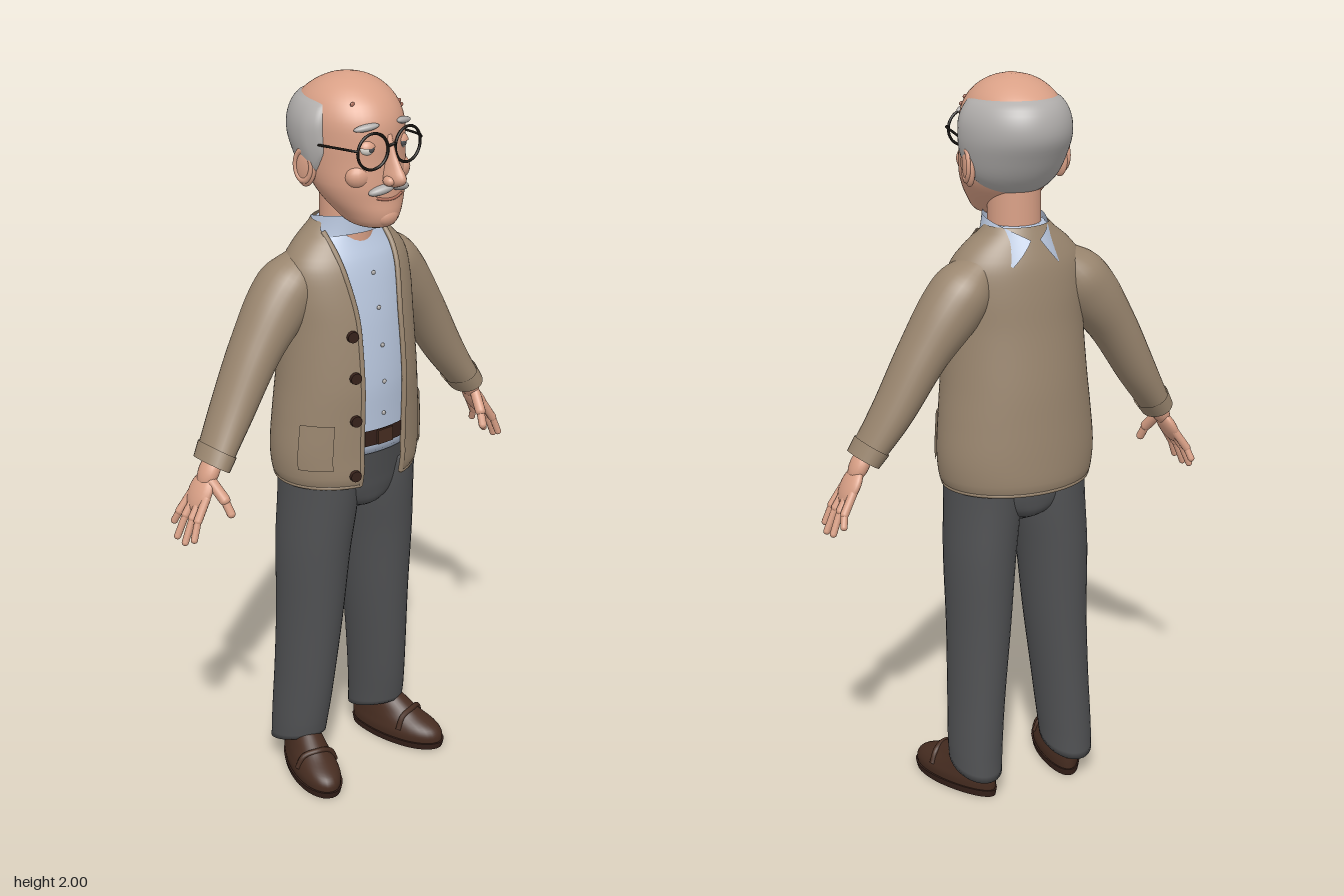
import * as THREE from 'three';
import { mergeVertices, toCreasedNormals } from 'three/addons/utils/BufferGeometryUtils.js';

const material = (name, color, side = THREE.FrontSide) => {
  const m = new THREE.MeshStandardMaterial({ color, side });
  m.name = name;
  return m;
};
const V = (x, y, z) => new THREE.Vector3(x, y, z);

// Grid surface from fn(u, v, j); u runs round, v runs up
function grid(nu, nv, fn) {
  const pos = [], idx = [], row = nu + 1;
  for (let j = 0; j <= nv; j++) for (let i = 0; i <= nu; i++) pos.push(...fn(i / nu, j / nv, j));
  for (let j = 0; j < nv; j++) for (let i = 0; i < nu; i++) {
    const a = j * row + i;
    idx.push(a, a + 1, a + row + 1, a, a + row + 1, a + row);
  }
  let g = new THREE.BufferGeometry();
  g.setAttribute('position', new THREE.Float32BufferAttribute(pos, 3));
  g.setIndex(idx);
  g = mergeVertices(g, 1e-5);
  g.computeVertexNormals();
  return g;
}

// Smoothly interpolates the columns of rows at key y
function at(rows, y) {
  let i = 0;
  while (i < rows.length - 2 && y > rows[i + 1][0]) i++;
  const p = k => rows[Math.max(0, Math.min(rows.length - 1, k))];
  const a = p(i), b = p(i + 1), h = b[0] - a[0], t = (y - a[0]) / h;
  const slope = (k, c) => (p(k + 1)[c] - p(k - 1)[c]) / (p(k + 1)[0] - p(k - 1)[0]);
  return a.map((_, c) => a[c] * (2 * t ** 3 - 3 * t * t + 1) + b[c] * (3 * t * t - 2 * t ** 3)
    + h * (slope(i, c) * (t ** 3 - 2 * t * t + t) + slope(i + 1, c) * (t ** 3 - t * t)));
}

// Point on a body of oval sections [y, zFront, zBack, halfWidth, centreX]; angle 0 faces front
function oval(rows, th, y, off = 0, scale = 1) {
  const [, zf, zb, w, cx = 0] = at(rows, y);
  return [cx + (w + off) * scale * Math.sin(th), y, (zf + zb) / 2 + ((zf - zb) / 2 + off) * scale * Math.cos(th)];
}
function loft(rows, off = 0, n = 40, bend = p => p) {
  const ys = [];
  rows.forEach((r, i) => {
    if (i) for (let k = 1; k <= 4; k++) ys.push(rows[i - 1][0] + (r[0] - rows[i - 1][0]) * k / 4);
    else ys.push(r[0], r[0]);
  });
  ys.push(ys[ys.length - 1]);
  return grid(n, ys.length - 1, (u, v, j) =>
    bend(oval(rows, u * Math.PI * 2, ys[j], off, j === 0 || j === ys.length - 1 ? 0 : 1), u * Math.PI * 2));
}

const HEAD = [[1.62, .12, .06, .025], [1.63, .145, .01, .055], [1.66, .158, -.04, .08], [1.7, .155, -.08, .106],
  [1.74, .154, -.11, .121], [1.8, .15, -.14, .127], [1.85, .15, -.163, .13], [1.9, .143, -.165, .128],
  [1.94, .12, -.15, .114], [1.97, .085, -.112, .088], [1.99, .045, -.07, .053], [2, .005, -.03, .012]];
const NOSE = [[1.735, .165, .1, .012], [1.748, .198, .1, .021], [1.765, .207, .1, .023], [1.79, .191, .1, .018],
  [1.82, .171, .1, .014], [1.87, .15, .1, .014]];
const TORSO = [[.91, .132, -.193, .205], [.93, .14, -.2, .215], [1, .14, -.2, .222], [1.1, .143, -.195, .215],
  [1.2, .145, -.188, .205], [1.35, .13, -.17, .195], [1.45, .11, -.16, .195], [1.52, .088, -.148, .183],
  [1.57, .06, -.13, .142], [1.6, .045, -.117, .105], [1.618, .035, -.108, .088]];
const HIPS = [[.8, .03, -.08, .03], [.83, .085, -.135, .09], [.87, .1, -.148, .17], [.92, .108, -.152, .196],
  [1, .122, -.17, .2], [1.04, .13, -.18, .2]];
const LEG = [[.09, .025, -.155, .07, .145], [.15, .033, -.152, .072, .143], [.3, .05, -.148, .076, .133],
  [.5, .068, -.147, .085, .12], [.7, .085, -.15, .095, .112], [.85, .1, -.15, .1, .1], [.95, .106, -.15, .096, .1]];
const SHOE = [[.018, .165, -.135, .06], [.04, .163, -.137, .062], [.06, .145, -.137, .058], [.085, .09, -.133, .052],
  [.11, .05, -.125, .046], [.13, .02, -.115, .038]];
const SOLE = [[0, .165, -.136, .061], [.02, .17, -.14, .065]];
const ARM = [[0, .045, .06], [.15, .076, .085], [.3, .081, .086], [.5, .066, .077], [.75, .052, .067], [1, .038, .058]];

const headAt = (x, y, off = 0) => V(...oval(HEAD, Math.asin(x / at(HEAD, y)[3]), y, off));
const openX = y => .073 + .024 * THREE.MathUtils.smoothstep(y, 1.35, 1.58);
const edgeAngle = y => Math.asin(Math.min(.97, openX(y) / at(TORSO, y)[3]));
const tube = (pts, r, n = 24) => new THREE.TubeGeometry(new THREE.CatmullRomCurve3(pts), n, r, 8);

export function createModel() {
  const skin = material('skin', 0xd9a086), hair = material('greyHair', 0xb0adab);
  const wool = material('cardiganWool', 0x9a866f, THREE.DoubleSide), shirt = material('blueShirt', 0xb8c6dd, THREE.DoubleSide);
  const cloth = material('trouserCloth', 0x505153), leather = material('shoeLeather', 0x472d21);
  const dark = material('darkLeather', 0x36211a), black = material('blackFrame', 0x17130f);
  const white = material('eyeWhite', 0xe6e2da), lip = material('lip', 0xb0705c);

  const model = new THREE.Group();
  model.name = 'elderlyMan';
  const add = (parent, name, geo, mat, p = [0, 0, 0], s = [1, 1, 1], r = [0, 0, 0]) => {
    const m = new THREE.Mesh(geo, mat);
    m.name = name;
    m.position.set(...p); m.scale.set(...s); m.rotation.set(...r);
    parent.add(m);
    return m;
  };
  const ball = (parent, name, mat, p, s, r) => add(parent, name, new THREE.SphereGeometry(1, 20, 14), mat, p, s, r);
  const bar = (parent, name, mat, a, b, r) => {
    const d = b.clone().sub(a);
    const m = add(parent, name, new THREE.CapsuleGeometry(r, d.length(), 6, 12), mat, a.clone().add(b).multiplyScalar(.5).toArray());
    m.quaternion.setFromUnitVectors(V(0, 1, 0), d.normalize());
  };

  // Head, neck and hair
  add(model, 'head', loft(HEAD, 0, 48), skin);
  add(model, 'nose', loft(NOSE, 0, 24), skin);
  ball(model, 'chin', skin, [0, 1.656, .135], [.036, .028, .026]);
  add(model, 'neck', new THREE.CylinderGeometry(.07, .072, .2, 32), skin, [0, 1.62, -.022]);
  add(model, 'hair', grid(56, 20, (u, v) => {
    const k = Math.abs(2 * u - 1);
    const y = THREE.MathUtils.lerp(1.69 + .035 * k + .1 * k ** 4, 1.955 - .012 * k * k, v);
    const puff = Math.sqrt(Math.max(0, Math.sin(Math.PI * v) * Math.min(1, (1 - k) * 6)));
    return oval(HEAD, Math.PI + (2 * u - 1) * 1.88, y, -.004 + .026 * puff);
  }), hair);
  add(model, 'mouth', tube([-.042, -.02, 0, .02, .042].map(x => headAt(x, 1.704 + 4 * x * x, 0)), .004), lip);
  [[.1, 1.915], [.085, 1.93], [-.07, 1.945]].forEach(([x, y]) =>
    ball(model, 'ageSpot', lip, headAt(x, y).toArray(), [.007, .006, .004]));
  add(model, 'glassesBridge', tube([V(-.013, 1.842, .154), V(0, 1.85, .166), V(.013, 1.842, .154)], .0035, 12), black);

  // Shirt, collar, belt and trouser seat
  add(model, 'shirt', loft(TORSO.slice(2), -.012), shirt);
  add(model, 'collar', grid(48, 8, (u, v) => {
    const k = 2 * u - 1, f = Math.abs(k) ** 2.5;
    const th = Math.PI + k * Math.PI * (.8 + .15 * v);
    const flare = (1 - v) * Math.min(1, f * 2);
    const y = THREE.MathUtils.lerp(1.595 - .07 * f, 1.645 - .055 * f, v);
    return [Math.sin(th) * (.083 + .03 * flare), y, -.022 - Math.cos(th) * (.084 + .034 * f + .03 * flare)];
  }), shirt);
  [1.49, 1.4, 1.3, 1.2, 1.11].forEach(y =>
    ball(model, 'shirtButton', hair, oval(TORSO, 0, y, -.011), [.006, .006, .004]));
  add(model, 'belt', grid(48, 2, (u, v) => oval(TORSO, u * Math.PI * 2, 1.025 + .045 * v, -.006)), dark);
  add(model, 'buckle', new THREE.BoxGeometry(.05, .04, .01), leather, [0, 1.047, .136]);
  add(model, 'trouserSeat', loft(HIPS), cloth);

  // Cardigan with rolled front edges, hem and buttons
  add(model, 'cardigan', grid(64, 44, (u, v) => {
    const y = .91 + .708 * v, e = edgeAngle(y);
    return oval(TORSO, e + u * (Math.PI * 2 - 2 * e), y);
  }), wool);
  const hemAngle = edgeAngle(.915);
  add(model, 'cardiganHem', tube(Array.from({ length: 33 }, (_, i) =>
    V(...oval(TORSO, hemAngle + i / 32 * (Math.PI * 2 - 2 * hemAngle), .915, -.004))), .007, 96), wool);
  [1.342, 1.23, 1.109, .95].forEach(y => {
    const th = -Math.asin(.092 / at(TORSO, y)[3]);
    add(model, 'cardiganButton', new THREE.CylinderGeometry(.015, .016, .01, 20), dark,
      oval(TORSO, th, y, .004), [1, 1, 1], [Math.PI / 2, 0, -th * .6]);
  });

  // Everything that comes in pairs, built on the left and mirrored
  for (const s of [1, -1]) {
    const half = new THREE.Group();
    half.name = s > 0 ? 'leftSide' : 'rightSide';
    half.scale.x = s;
    model.add(half);

    // Face
    ball(half, 'cheek', skin, [.062, 1.765, .1], [.04, .036, .035]);
    ball(half, 'nostril', skin, [.02, 1.757, .168], [.013, .013, .018]);
    ball(half, 'ear', skin, [.132, 1.772, -.022], [.015, .052, .032], [.15, -.2, 0]);
    add(half, 'earRim', new THREE.TorusGeometry(.026, .006, 8, 24), skin, [.141, 1.778, -.024], [1, 1.5, 1], [0, Math.PI / 2 - .2, 0]);
    ball(half, 'eye', white, [.054, 1.838, .121], [.021, .019, .021]);
    ball(half, 'iris', cloth, [.053, 1.838, .139], [.009, .009, .005]);
    add(half, 'eyelid', new THREE.SphereGeometry(.024, 20, 8, 0, Math.PI * 2, 0, 1.2), skin, [.054, 1.838, .121], [1.1, 1, 1], [.2, 0, -.1]);
    ball(half, 'eyebrow', hair, headAt(.06, 1.893, .003).toArray(), [.034, .009, .012], [0, .4, -.15]);
    ball(half, 'moustache', hair, [.03, 1.733, .153], [.037, .012, .016], [0, .3, -.22]);
    add(half, 'glassesRim', new THREE.TorusGeometry(.046, .0038, 8, 40), black, [.058, 1.836, .151], [1, 1, 1], [0, .1, 0]);
    add(half, 'glassesTemple', tube([V(.104, 1.843, .147), V(.113, 1.845, .14), V(.128, 1.842, .06), V(.138, 1.835, -.01), V(.14, 1.81, -.04)], .0033), black);

    // Cardigan front edge and pocket
    add(half, 'cardiganEdge', tube(Array.from({ length: 16 }, (_, i) => {
      const y = .915 + i * .0455;
      return V(...oval(TORSO, edgeAngle(y), y, -.003));
    }), .007, 60), wool);
    add(half, 'pocket', grid(10, 6, (u, v) => oval(TORSO, .72 + .5 * u, .97 + .13 * v, .005)), wool);

    // Sleeve and cuff
    const path = new THREE.CatmullRomCurve3([V(.12, 1.515, -.05), V(.19, 1.43, -.055), V(.28, 1.31, -.053),
      V(.375, 1.15, -.045), V(.45, 1.035, -.03)]);
    const sleeve = (v0, v1, extra) => grid(28, 30, (u, v) => {
      const t = v0 + (v1 - v0) * v, p = path.getPoint(t), d = path.getTangent(t), [, r, rz] = at(ARM, t);
      const c = Math.cos(u * Math.PI * 2) * (r + extra), len = Math.hypot(d.x, d.y);
      return [p.x - d.y / len * c, p.y + d.x / len * c, p.z + Math.sin(u * Math.PI * 2) * (rz + extra)];
    });
    add(half, 'sleeve', sleeve(0, 1, 0), wool);
    add(half, 'cuff', sleeve(.92, 1, .004), wool);

    // Hand with fingers hanging along local -y
    const hand = new THREE.Group();
    hand.name = 'hand';
    hand.position.set(.452, 1.035, -.028);
    hand.rotation.z = .505;
    half.add(hand);
    ball(hand, 'wrist', skin, [0, -.015, 0], [.024, .05, .033]);
    ball(hand, 'palm', skin, [0, -.075, -.002], [.019, .056, .043]);
    [[-.032, -.058, .175], [-.011, -.024, .207], [.011, .013, .212], [.03, .042, .195]].forEach(([z0, z1, len]) => {
      const knuckle = V(.004, -.145, (z0 + z1) / 2);
      bar(hand, 'finger', skin, V(0, -.085, z0), knuckle, .0115);
      bar(hand, 'fingertip', skin, knuckle, V(-.003, -len, z1), .0095);
    });
    bar(hand, 'thumbBase', skin, V(-.004, -.04, .022), V(-.035, -.07, .058), .015);
    bar(hand, 'thumb', skin, V(-.035, -.07, .058), V(-.058, -.098, .076), .0115);

    // Trouser leg with a hem that dips at the heel
    add(half, 'trouserLeg', loft(LEG, 0, 36, ([x, y, z], th) =>
      [x, y + .03 * Math.cos(th) * Math.max(0, 1 - (y - .09) / .12), z]), cloth);

    // Shoe, wider at the toe and turned out
    const shoe = new THREE.Group();
    shoe.name = 'shoe';
    shoe.position.set(.16, 0, 0);
    shoe.rotation.y = .28;
    half.add(shoe);
    const widen = ([x, y, z]) => [x * (.95 + z * 1.1), y, z];
    add(shoe, 'shoeUpper', loft(SHOE, 0, 36, widen), leather);
    add(shoe, 'shoeSole', toCreasedNormals(loft(SOLE, 0, 36, widen), .8), dark);
    add(shoe, 'shoeStrap', tube([V(-.058, .05, .055), V(-.04, .085, .058), V(0, .097, .066), V(.04, .085, .058), V(.058, .05, .055)], .008), leather);
  }
  return model;
}
